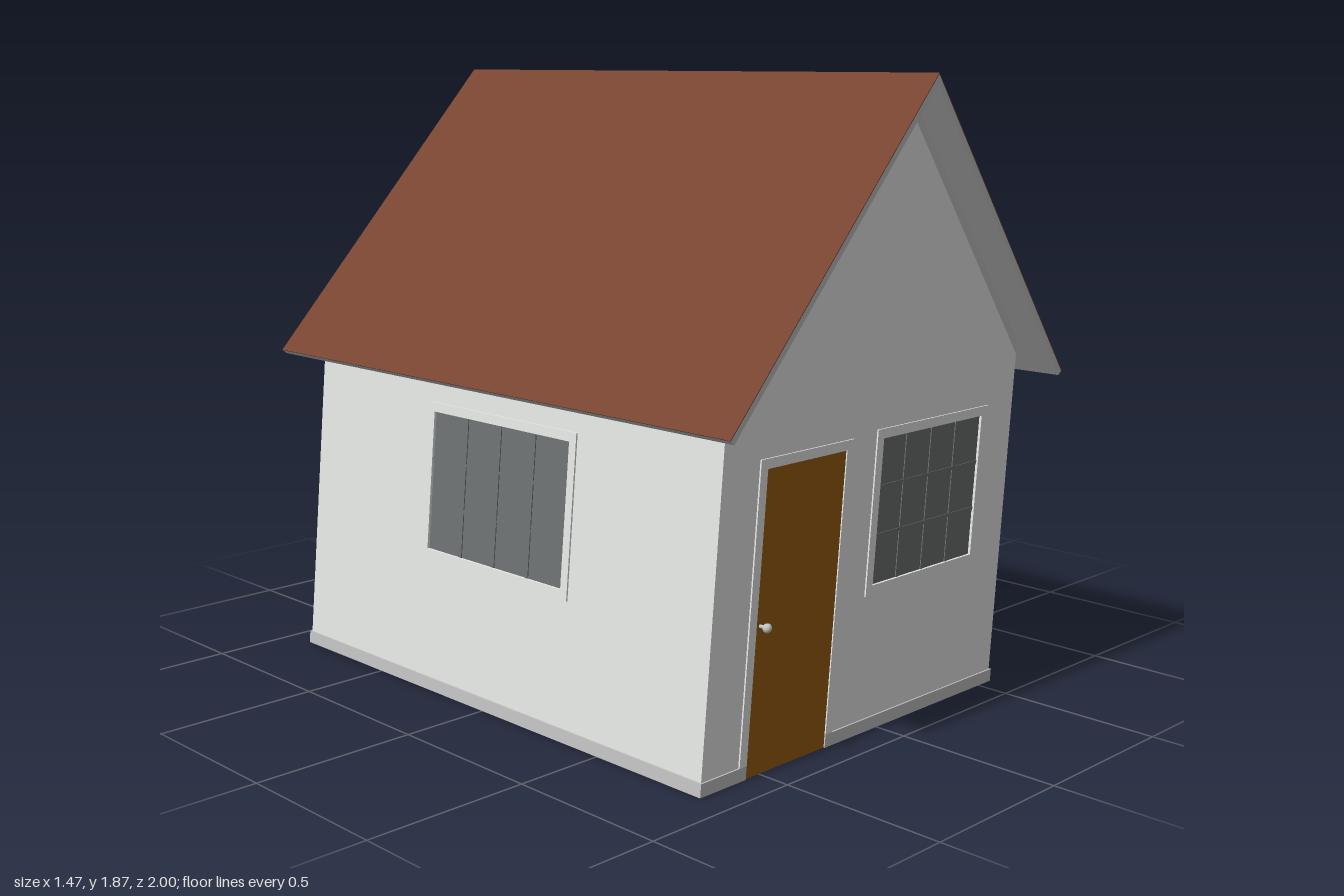
import * as THREE from 'three';

const mat = (name, color, extra = {}) => {
  const m = new THREE.MeshStandardMaterial({ color, ...extra });
  m.name = name;
  return m;
};

export function createModel() {
  const house = new THREE.Group();
  house.name = 'leaningHouse';

  const wallWhite = mat('wall white', 0xf3f5f3);
  const trimGrey = mat('trim grey', 0xc2c2c2);
  const roofBrown = mat('roof brown', 0x774430);
  const doorBrown = mat('door brown', 0x985c0f);
  const glassGrey = mat('glass grey', 0x6d7171);

  // The whole house leans towards +x
  const lean = new THREE.Matrix4().set(
    1, 0.092, 0, -0.085,
    0, 1, 0, 0,
    0, 0, 1, 0,
    0, 0, 0, 1);

  const HALF = 0.64, DEPTH = 0.895, T = 0.015; // wall half width, half depth, thickness
  const APEX = 1.865, SLOPE = 1.22, EAVE = 0.735, SLAB = 0.032;
  const roofY = (x, drop = 0) => APEX - drop - SLOPE * Math.abs(x);

  // Wall frames: local z = 0 is the outer face, +z points outwards
  const front = new THREE.Matrix4().makeTranslation(0, 0, DEPTH);
  const back = new THREE.Matrix4().makeRotationY(Math.PI).setPosition(0, 0, -DEPTH);
  const left = new THREE.Matrix4().makeRotationY(Math.PI / 2).setPosition(HALF, 0, 0);
  const right = new THREE.Matrix4().makeRotationY(-Math.PI / 2).setPosition(-HALF, 0, 0);

  const add = (name, geo, material, place) => {
    if (place) geo.applyMatrix4(place);
    geo.applyMatrix4(lean);
    const mesh = new THREE.Mesh(geo, material);
    mesh.name = name;
    house.add(mesh);
  };
  const box = (name, x0, x1, y0, y1, z0, z1, material, place) =>
    add(name, new THREE.BoxGeometry(x1 - x0, y1 - y0, z1 - z0)
      .translate((x0 + x1) / 2, (y0 + y1) / 2, (z0 + z1) / 2), material, place);
  const poly = (pts) => new THREE.Shape(pts.map(([x, y]) => new THREE.Vector2(x, y)));
  const slab = (name, pts, holes, z0, z1, material, place) => {
    const shape = poly(pts);
    for (const h of holes) shape.holes.push(poly(h));
    const geo = new THREE.ExtrudeGeometry(shape, { depth: z1 - z0, bevelEnabled: false });
    add(name, geo.translate(0, 0, z0), material, place);
  };
  const rect = (x0, x1, y0, y1) => [[x0, y0], [x1, y0], [x1, y1], [x0, y1]];

  // Gable walls and side walls
  const door = { x0: -0.47, x1: -0.145, y1: 0.84 };
  const frontWindow = [0.015, 0.48, 0.43, 0.85];
  const sideWindow = [-0.3, 0.31, 0.43, 0.85];
  const eaveY = roofY(HALF, SLAB), peak = roofY(0, SLAB);
  const gableTop = [[HALF, eaveY], [0, peak], [-HALF, eaveY]];
  slab('frontWall', [[-HALF, 0.01], [door.x0, 0.01], [door.x0, door.y1], [door.x1, door.y1],
    [door.x1, 0.01], [HALF, 0.01], ...gableTop], [rect(...frontWindow)], -T, 0, wallWhite, front);
  slab('backWall', [[-HALF, 0.01], [HALF, 0.01], ...gableTop], [], -T, 0, wallWhite, back);
  const D = DEPTH - T;
  slab('leftWall', rect(-D, D, 0.01, eaveY), [], -T, 0, wallWhite, left);
  slab('rightWall', rect(-D, D, 0.01, eaveY), [rect(...sideWindow)], -T, 0, wallWhite, right);

  // Base trim, interrupted by the door
  const base = (x0, x1, place) =>
    box('baseTrim', x0, x1, 0, 0.038, -T - 0.004, 0.005, trimGrey, place);
  base(-HALF - 0.005, door.x0, front);
  base(door.x1, HALF + 0.005, front);
  base(-HALF - 0.005, HALF + 0.005, back);
  for (const side of [left, right]) base(-D, D, side);

  // Thin grey band under the roof on both gables
  const bandDrop = 0.035, bandX = HALF - 0.002;
  for (const place of [front, back]) {
    slab('gableBand', [
      [-bandX, roofY(bandX, SLAB + bandDrop)], [-0.04, roofY(0.04, SLAB + bandDrop)],
      [0.04, roofY(0.04, SLAB + bandDrop)], [bandX, roofY(bandX, SLAB + bandDrop)],
      [bandX, roofY(bandX, SLAB)], [0, peak], [-bandX, roofY(bandX, SLAB)],
    ], [], 0, 0.003, trimGrey, place);
  }

  // Roof: grey slab with a thin brown covering
  const chevron = (top, bottom) => {
    const cut = (d) => d * SLOPE / (1 + SLOPE * SLOPE); // square-cut eaves
    const xo = EAVE - cut(top), xi = EAVE - cut(bottom);
    return [[-xi, roofY(xi, bottom)], [0, roofY(0, bottom)], [xi, roofY(xi, bottom)],
      [xo, roofY(xo, top)], [0, roofY(0, top)], [-xo, roofY(xo, top)]];
  };
  slab('roofSlab', chevron(0.004, SLAB), [], -1, 1, trimGrey);
  slab('roofCovering', chevron(0, 0.004), [], -1, 1, roofBrown);

  // Frame of four thin strips, the bottom one optional
  const frame = (name, x0, x1, y0, y1, sill, place) => {
    const w = 0.028, z = 0.005;
    box(name, x0 - w, x0, y0, y1, 0, z, wallWhite, place);
    box(name, x1, x1 + w, y0, y1, 0, z, wallWhite, place);
    box(name, x0 - w, x1 + w, y1, y1 + w, 0, z, wallWhite, place);
    if (sill) box(name, x0 - w, x1 + w, y0 - w, y0, 0, z, wallWhite, place);
  };

  // Windows: glass plate with a 4 by 3 grid of glazing bars
  const makeWindow = ([x0, x1, y0, y1], place) => {
    box('windowGlass', x0, x1, y0, y1, -0.011, -0.003, glassGrey, place);
    for (let i = 1; i < 4; i++) {
      const x = x0 + (x1 - x0) * i / 4;
      box('glazingBar', x - 0.005, x + 0.005, y0, y1, -0.014, 0, glassGrey, place);
    }
    for (let i = 1; i < 3; i++) {
      const y = y0 + (y1 - y0) * i / 3;
      box('glazingBar', x0, x1, y - 0.005, y + 0.005, -0.0135, -0.0005, glassGrey, place);
    }
    frame('windowFrame', x0, x1, y0, y1, true, place);
  };
  makeWindow(frontWindow, front);
  makeWindow(sideWindow, right);

  // Door with frame and knob
  box('door', door.x0, door.x1, 0, door.y1, -T, 0.001, doorBrown, front);
  frame('doorFrame', door.x0, door.x1, 0.038, door.y1, false, front);
  add('doorKnobStem', new THREE.CylinderGeometry(0.005, 0.005, 0.02, 10)
    .rotateX(Math.PI / 2).translate(-0.453, 0.415, 0.011), trimGrey, front);
  add('doorKnob', new THREE.SphereGeometry(0.013, 14, 10)
    .translate(-0.453, 0.415, 0.027), trimGrey, front);

  return house;
}
